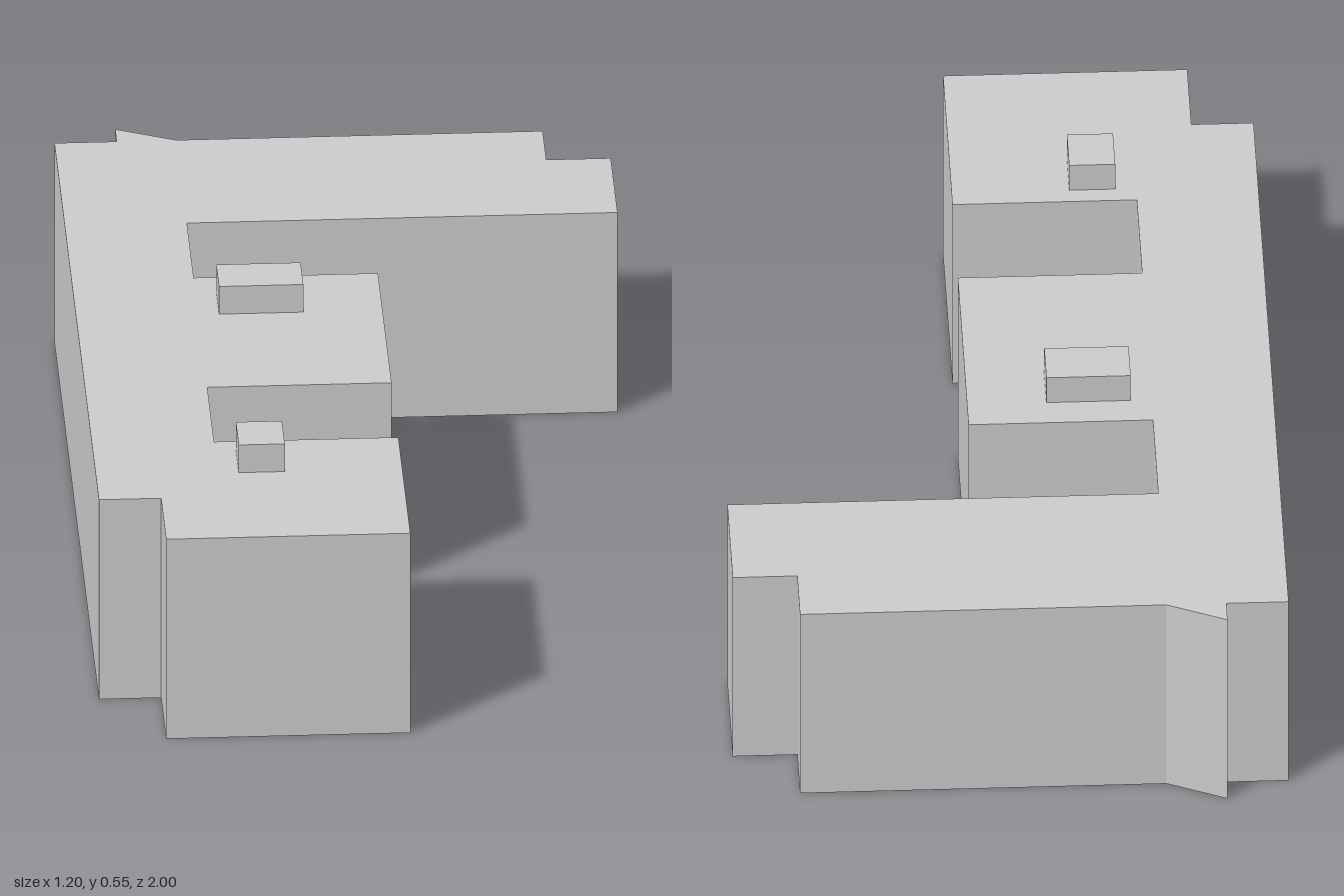
import * as THREE from 'three';

const WALL_HEIGHT = 0.483;
const ROOF_TOP = 0.55;

// Footprint of the three-winged block, as [x, z] corners
const FOOTPRINT = [
  [-0.6, -0.94], [-0.465, -0.94], [-0.465, -1], [-0.335, -0.94], // spur on the back wall
  [0.46, -0.94], [0.46, -0.8], [0.6, -0.8], [0.6, -0.535],       // long back wing
  [-0.335, -0.535], [-0.335, -0.268],
  [0.065, -0.268], [0.065, 0.266],                               // middle wing
  [-0.335, 0.266], [-0.335, 0.532],
  [0.065, 0.532], [0.065, 1],                                    // front wing
  [-0.465, 1], [-0.465, 0.8], [-0.6, 0.8],
];

export function createModel() {
  const model = new THREE.Group();
  model.name = 'building';
  const material = new THREE.MeshStandardMaterial({ color: 0xcccccc, flatShading: true });

  // Main block: the footprint drawn with y = -z, extruded and laid flat
  const outline = new THREE.Shape(FOOTPRINT.map(([x, z]) => new THREE.Vector2(x, -z)));
  const blockGeometry = new THREE.ExtrudeGeometry(outline, { depth: WALL_HEIGHT, bevelEnabled: false });
  blockGeometry.rotateX(-Math.PI / 2);
  const block = new THREE.Mesh(blockGeometry, material);
  block.name = 'mainBlock';
  model.add(block);

  // Small housings standing on the roof
  const addRoofBox = (name, x0, x1, z0, z1) => {
    const height = ROOF_TOP - WALL_HEIGHT;
    const box = new THREE.Mesh(new THREE.BoxGeometry(x1 - x0, height, z1 - z0), material);
    box.position.set((x0 + x1) / 2, WALL_HEIGHT + height / 2, (z0 + z1) / 2);
    box.name = name;
    model.add(box);
  };
  addRoofBox('middleRoofHousing', -0.29, -0.107, -0.195, -0.088);
  addRoofBox('frontRoofHousing', -0.29, -0.19, 0.573, 0.685);

  return model;
}
